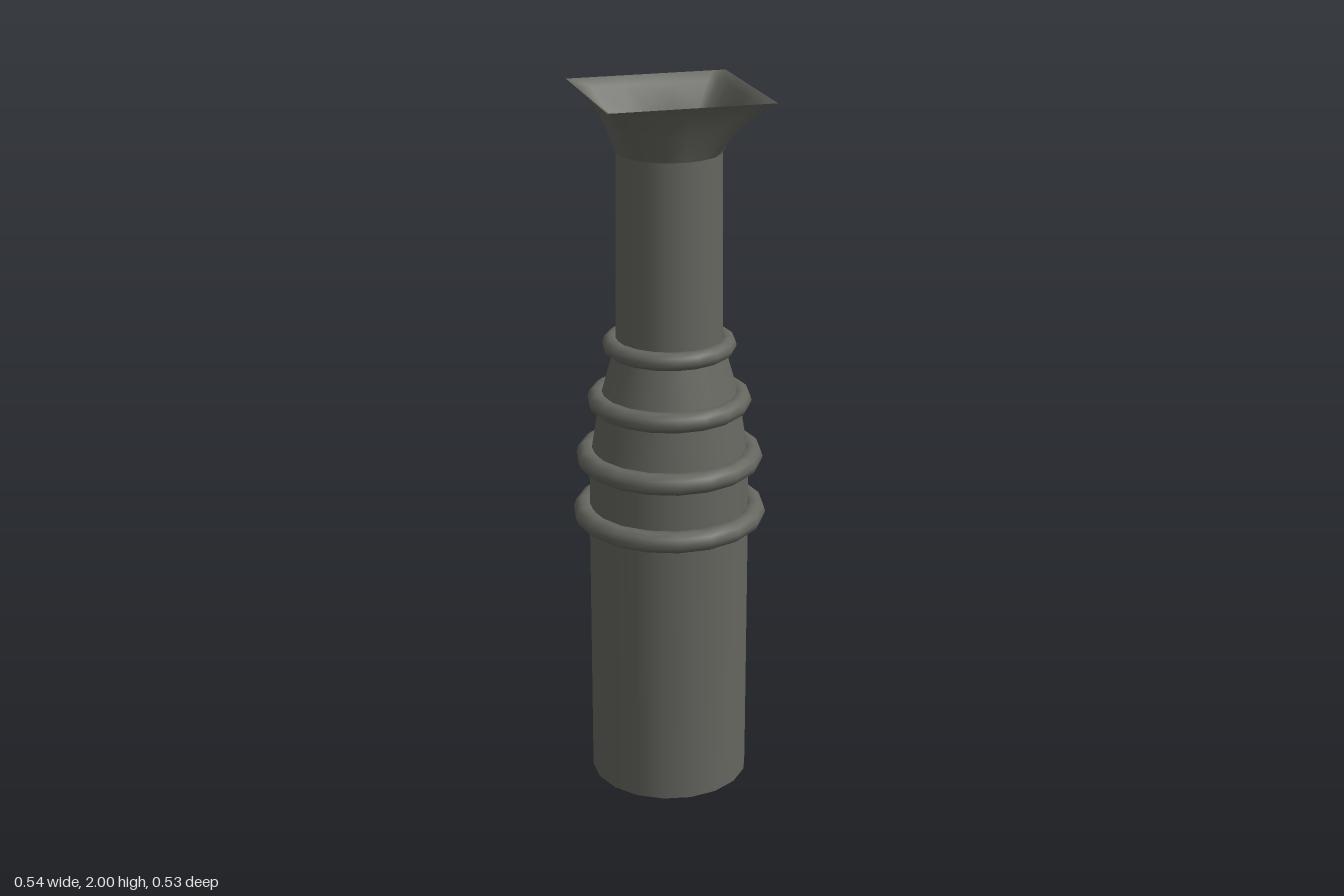
import * as THREE from 'three';

const SIDES = 18;
const STEP = (Math.PI * 2) / SIDES;

// Funnel that changes from the round pipe into a square mouth
function flareGeometry(pipeRadius) {
  // pipe vertices plus the four square corners; angles run from +z towards +x
  const angles = [];
  for (let i = 0; i < SIDES; i++) angles.push(i * STEP);
  for (let i = 0; i < 4; i++) angles.push(Math.PI / 4 + (i * Math.PI) / 2);
  angles.sort((a, b) => a - b);

  // [height, half width of the square, squareness]
  const rings = [[1.84, 0.143, 0], [1.91, 0.168, 0.5], [1.98, 0.2, 0.93], [2.0, 0.225, 1]];
  const position = [], index = [], n = angles.length;
  rings.forEach(([y, half, squareness], j) => {
    angles.forEach((a, i) => {
      const s = Math.sin(a), c = Math.cos(a);
      const round = (j ? half : pipeRadius) * Math.cos(STEP / 2) / Math.cos((a % STEP) - STEP / 2);
      const square = half / Math.max(Math.abs(s), Math.abs(c));
      const r = THREE.MathUtils.lerp(round, square, squareness);
      position.push(r * s, y, r * c);
      if (j < rings.length - 1) {
        const p = j * n + i, q = j * n + ((i + 1) % n);
        index.push(p, q, q + n, p, q + n, p + n);
      }
    });
  });
  const geometry = new THREE.BufferGeometry();
  geometry.setAttribute('position', new THREE.Float32BufferAttribute(position, 3));
  geometry.setIndex(index);
  geometry.computeVertexNormals();
  return geometry;
}

export function createModel() {
  const group = new THREE.Group();
  const metal = new THREE.MeshStandardMaterial({ color: 0x666660, side: THREE.DoubleSide });
  metal.name = 'dark grey metal';

  const add = (name, geometry) => {
    const mesh = new THREE.Mesh(geometry, metal);
    mesh.name = name;
    group.add(mesh);
    return mesh;
  };

  // Open pipe sections, wide at the foot and stepping in at each ring
  const sections = [
    ['lowerPipe', 0, 0.225, 0.811, 0.225],
    ['collarPipe', 0.811, 0.225, 0.977, 0.223],
    ['lowerTaper', 0.977, 0.221, 1.143, 0.195],
    ['upperTaper', 1.143, 0.195, 1.303, 0.15],
    ['upperPipe', 1.303, 0.148, 1.84, 0.143],
  ];
  for (const [name, y0, r0, y1, r1] of sections) {
    add(name, new THREE.CylinderGeometry(r1, r0, y1 - y0, SIDES, 1, true)).position.y = (y0 + y1) / 2;
  }

  // Rounded rings around the joints: [height, radius, thickness]
  const rings = [[0.811, 0.241, 0.03], [0.977, 0.231, 0.03], [1.143, 0.2, 0.028], [1.303, 0.16, 0.025]];
  rings.forEach(([y, radius, tube], i) => {
    const geometry = new THREE.TorusGeometry(radius, tube, 10, SIDES).rotateX(Math.PI / 2);
    add(`ring${i + 1}`, geometry).position.y = y;
  });

  // Square mouth
  add('squareFlare', flareGeometry(0.143));
  return group;
}
